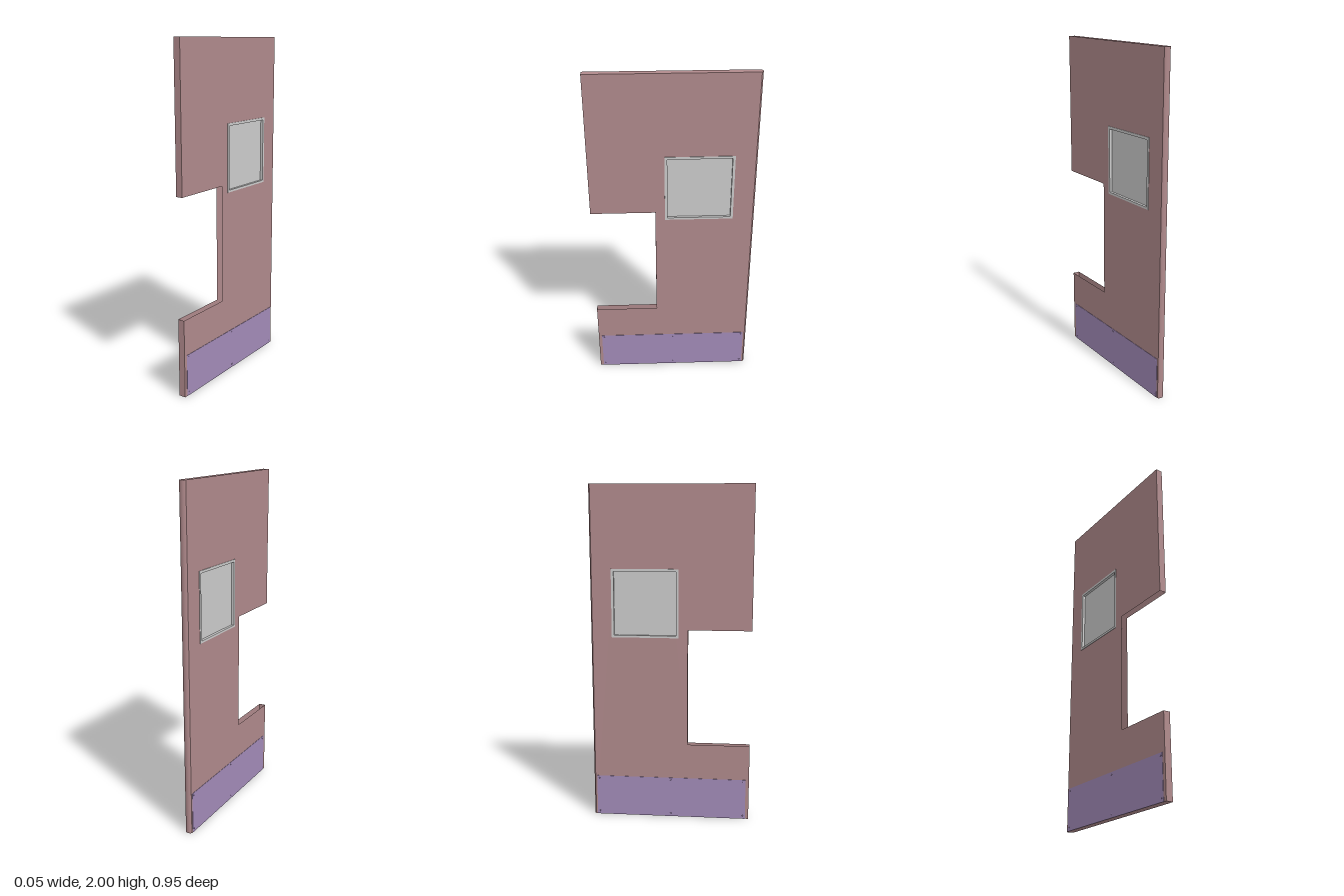
import * as THREE from 'three';

const T = 0.02;                       // half thickness of the door leaf
const FRONT = 0.475, BACK = -0.465;   // flat part of the leaf along z
const WIN = { z0: -0.335, z1: 0.03, y0: 1.13, y1: 1.505 };

const mat = (color) => new THREE.MeshStandardMaterial({ color, side: THREE.DoubleSide });

function rect(ShapeType, a, b, c, d) {
  return new ShapeType([[a, c], [b, c], [b, d], [a, d]].map((p) => new THREE.Vector2(...p)));
}

export function createModel() {
  const group = new THREE.Group();
  const paint = mat(0xb08a8c), grey = mat(0xcccccc), plateMat = mat(0xa28bb8);

  const add = (name, geometry, material, x = 0, y = 0, z = 0) => {
    const mesh = new THREE.Mesh(geometry, material);
    mesh.name = name;
    mesh.position.set(x, y, z);
    group.add(mesh);
    return mesh;
  };

  // Hollow leaf: two notched skins with a window opening
  for (const s of [-1, 1]) {
    const side = s < 0 ? 'right' : 'left';
    const outline = [
      [BACK, 0], [FRONT, 0], [FRONT, 0.465], [0.1, 0.465],
      [0.1, 1.165], [FRONT, 1.165], [FRONT, 2], [BACK, 2],
    ];
    const skin = new THREE.Shape(outline.map(([z, y]) => new THREE.Vector2(-s * z, y)));
    skin.holes.push(rect(THREE.Path, -s * WIN.z0, -s * WIN.z1, WIN.y0, WIN.y1));
    const geometry = new THREE.ShapeGeometry(skin).rotateY(s * Math.PI / 2);
    add(side + 'Skin', geometry, paint, s * T);

    // Kick plate and its screws
    add(side + 'KickPlate', new THREE.BoxGeometry(0.002, 0.25, 0.91), plateMat, s * (T + 0.001), 0.125, 0);
    for (const y of [0.02, 0.235]) for (const z of [-0.44, 0, 0.44]) {
      const screw = new THREE.SphereGeometry(0.004, 8, 6).scale(0.5, 1, 1);
      add(side + 'Screw', screw, plateMat, s * (T + 0.002), y, z);
    }
  }

  // Front walls above and below the open notch
  for (const [name, y0, y1] of [['lowerFrontEdge', 0, 0.465], ['upperFrontEdge', 1.165, 2]]) {
    add(name, new THREE.PlaneGeometry(2 * T, y1 - y0), paint, 0, (y0 + y1) / 2, FRONT);
  }

  // Rounded back edge
  const half = Math.asin(0.8);
  add('backEdge', new THREE.CylinderGeometry(0.025, 0.025, 2, 12, 1, true, Math.PI - half, 2 * half),
    paint, 0, 1, -0.45);

  // Top and bottom caps follow the rounded edge
  const cap = new THREE.Shape();
  cap.moveTo(-T, -FRONT).lineTo(T, -FRONT).lineTo(T, -BACK);
  cap.absarc(0, 0.45, 0.025, Math.PI / 2 - half, Math.PI / 2 + half, false);
  add('topEdge', new THREE.ShapeGeometry(cap).rotateX(-Math.PI / 2), paint, 0, 2, 0);
  add('bottomEdge', new THREE.ShapeGeometry(cap).rotateX(Math.PI / 2).scale(1, 1, 1).rotateY(0), paint)
    .rotation.z = 0;
  group.getObjectByName('bottomEdge').geometry = new THREE.ShapeGeometry(
    new THREE.Shape(cap.getPoints(12).map((p) => new THREE.Vector2(p.x, -p.y)))).rotateX(Math.PI / 2);

  // Window frame passing through the leaf, with a recessed pane
  const frame = rect(THREE.Shape, -0.35, 0.045, 1.117, 1.52);
  frame.holes.push(rect(THREE.Path, WIN.z0, WIN.z1, WIN.y0, WIN.y1));
  add('windowFrame', new THREE.ExtrudeGeometry(frame, { depth: 0.046, bevelEnabled: false })
    .translate(0, 0, -0.023).rotateY(-Math.PI / 2), grey);
  add('windowPane', new THREE.BoxGeometry(0.014, WIN.y1 - WIN.y0, WIN.z1 - WIN.z0), grey,
    0, (WIN.y0 + WIN.y1) / 2, (WIN.z0 + WIN.z1) / 2);

  return group;
}
